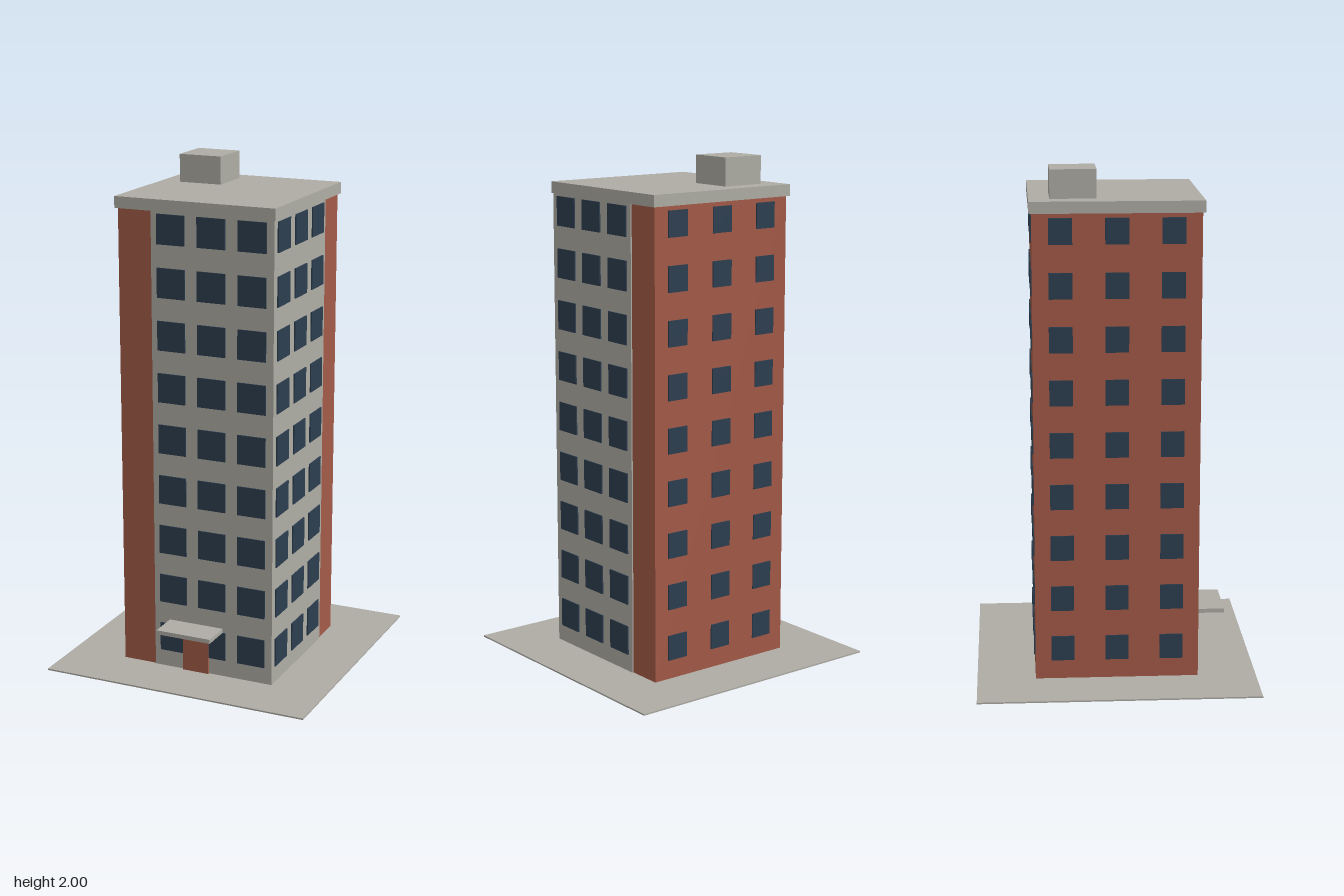
import * as THREE from 'three';

const material = (name, color) => {
  const m = new THREE.MeshStandardMaterial({ color });
  m.name = name;
  return m;
};

export function createModel() {
  const concrete = material('concrete grey', 0xaeaca4);
  const brick = material('brick red', 0xa35a47);
  const glass = material('dark glass', 0x2c3e50);

  const model = new THREE.Group();
  model.name = 'apartmentTower';

  // Box given by its extents on each axis
  const box = (name, mat, [x0, x1], [y0, y1], [z0, z1], parent = model) => {
    const mesh = new THREE.Mesh(new THREE.BoxGeometry(x1 - x0, y1 - y0, z1 - z0), mat);
    mesh.position.set((x0 + x1) / 2, (y0 + y1) / 2, (z0 + z1) / 2);
    mesh.name = name;
    parent.add(mesh);
    return mesh;
  };

  // Ground slab, the two interlocking wall blocks, and the roof
  box('groundSlab', concrete, [-0.55, 0.55], [0, 0.006], [-0.55, 0.55]);
  box('brickBlock', brick, [-0.32, 0.32], [0.003, 1.85], [-0.32, 0.32]);
  box('concreteBlock', concrete, [-0.18, 0.325], [0.003, 1.85], [-0.18, 0.325]);
  box('roofSlab', concrete, [-0.33, 0.33], [1.845, 1.89], [-0.33, 0.33]);
  box('roofHousing', concrete, [-0.25, -0.073], [1.89, 2], [-0.25, -0.073]);

  // Entrance
  box('door', brick, [-0.055, 0.055], [0.006, 0.18], [0.324, 0.333]);
  box('canopy', concrete, [-0.115, 0.115], [0.19, 0.207], [0.32, 0.445]);

  // Window grids: nine floors of three panes on each facade
  const FLOORS = 9, FLOOR_HEIGHT = 0.2057, FIRST = 0.132;
  const facade = (name, angle, surface, centre, step, w, h) => {
    const group = new THREE.Group();
    group.name = name;
    group.rotation.y = angle;
    for (let floor = 0; floor < FLOORS; floor++) {
      const y = FIRST + floor * FLOOR_HEIGHT;
      for (let i = -1; i <= 1; i++) {
        const x = centre + i * step;
        box('window', glass, [x - w / 2, x + w / 2], [y - h / 2, y + h / 2],
          [surface - 0.004, surface + 0.005], group);
      }
    }
    model.add(group);
  };
  facade('frontWindows', 0, 0.325, 0.07, 0.167, 0.116, 0.116);
  facade('leftWindows', Math.PI / 2, 0.325, -0.07, 0.167, 0.116, 0.116);
  facade('backWindows', Math.PI, 0.32, 0, 0.213, 0.09, 0.1);
  facade('rightWindows', -Math.PI / 2, 0.32, 0, 0.213, 0.09, 0.1);

  return model;
}
